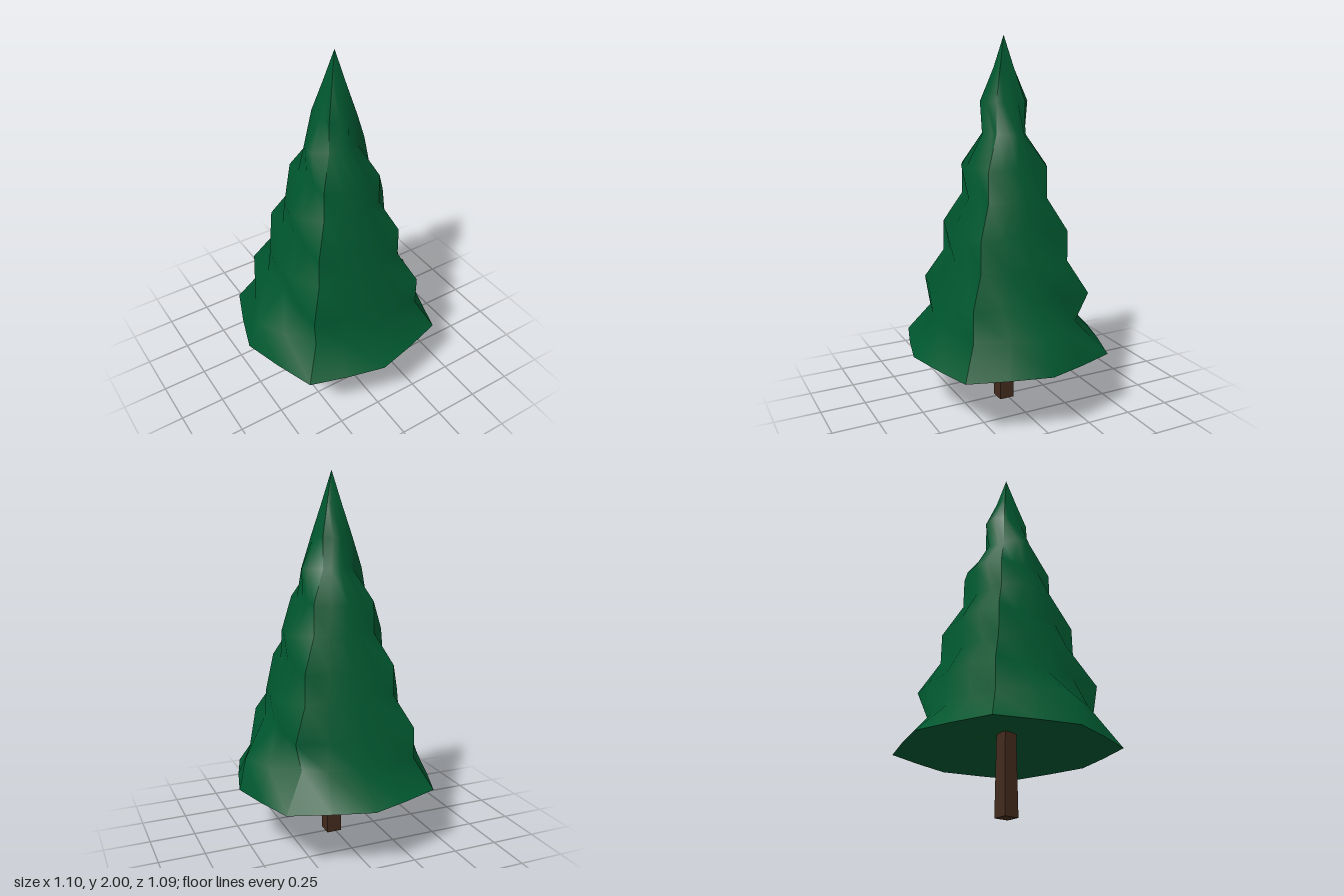
import * as THREE from 'three';

// Half sizes of the foliage at eleven levels, bottom to tip
const CORNER = [0.417, 0.335, 0.335, 0.252, 0.25, 0.17, 0.168, 0.084, 0.082, 0.04, 0];
const MID_X = [0.55, 0.5, 0.33, 0.355, 0.25, 0.273, 0.165, 0.17, 0.082, 0.04, 0];
const MID_Z = [0.543, 0.375, 0.383, 0.29, 0.298, 0.205, 0.218, 0.125, 0.125, 0.04, 0];
// Inset of each corner on the second level: right front, left front, left back, right back
const INSET = [0.02, 0, 0.048, 0];
const BASE_Y = 1 / 3, STEP = 1 / 6, COLS = 4, TIP = CORNER.length - 1;

// Share of the bulge between corner and middle: fuller on the levels where a side juts out
function quarterBulge(k, j) {
  if (j < 2) return 0.55;
  return j % 2 === k % 2 ? 0.82 : 0.15;
}

// Point on side k (0 front, 1 left, 2 back, 3 right); u runs -1..1 across the side
function sidePoint(k, j, u) {
  const mid = (k % 2 ? MID_X : MID_Z)[j], edge = Math.abs(u) === 1;
  const c = CORNER[j] - (edge && j === 1 ? INSET[(k + (u > 0 ? 1 : 0)) % 4] : 0);
  const bulge = u === 0 ? 1 : edge ? 0 : quarterBulge(k, j);
  let x = u * c, z = c + (mid - c) * bulge;
  for (let i = 0; i < k; i++) [x, z] = [z, -x];
  const lean = j ? 1 : Math.abs(u);
  return [x + 0.009 * lean, BASE_Y + j * STEP, z + 0.012 * lean];
}

// One smooth side; separate sides keep the corner creases sharp
function sideGeometry(k) {
  const pos = [], index = [], row = COLS + 1;
  for (let j = 0; j <= TIP; j++)
    for (let i = 0; i <= COLS; i++) pos.push(...sidePoint(k, j, (i / COLS) * 2 - 1));
  for (let j = 0; j < TIP; j++)
    for (let i = 0; i < COLS; i++) {
      const a = j * row + i, b = a + 1, d = a + row;
      index.push(a, b, d);
      if (j < TIP - 1) index.push(b, d + 1, d);
    }
  return makeGeometry(pos, index);
}

function makeGeometry(pos, index) {
  const g = new THREE.BufferGeometry();
  g.setAttribute('position', new THREE.Float32BufferAttribute(pos, 3));
  g.setIndex(index);
  g.computeVertexNormals();
  return g;
}

// Shallow hollow closing the bottom of the foliage
function undersideGeometry() {
  const pos = [0, BASE_Y + 0.1, 0], index = [], n = 4 * COLS;
  for (let k = 0; k < 4; k++)
    for (let i = 0; i < COLS; i++) pos.push(...sidePoint(k, 0, (i / COLS) * 2 - 1));
  for (let i = 0; i < n; i++) index.push(0, 1 + ((i + 1) % n), 1 + i);
  return makeGeometry(pos, index);
}

export function createModel() {
  const tree = new THREE.Group();
  tree.name = 'tree';
  const green = new THREE.MeshStandardMaterial({ color: 0x00572f });
  const brown = new THREE.MeshStandardMaterial({ color: 0x422a1c, flatShading: true });
  const add = (parent, name, geometry, material) => {
    const mesh = new THREE.Mesh(geometry, material);
    mesh.name = name;
    parent.add(mesh);
    return mesh;
  };

  // Foliage: four bulging sides and an underside
  const foliage = new THREE.Group();
  foliage.name = 'foliage';
  ['frontSide', 'leftSide', 'backSide', 'rightSide'].forEach((name, k) =>
    add(foliage, name, sideGeometry(k), green));
  add(foliage, 'underside', undersideGeometry(), green);
  tree.add(foliage);

  // Trunk: square post with a slight taper, ending inside the hollow
  const h = BASE_Y + 0.1;
  const post = new THREE.CylinderGeometry(0.036 * Math.SQRT2, 0.042 * Math.SQRT2, h, 4);
  post.rotateY(Math.PI / 4);
  add(tree, 'trunk', post, brown).position.set(0.01, h / 2, 0.013);

  return tree;
}
